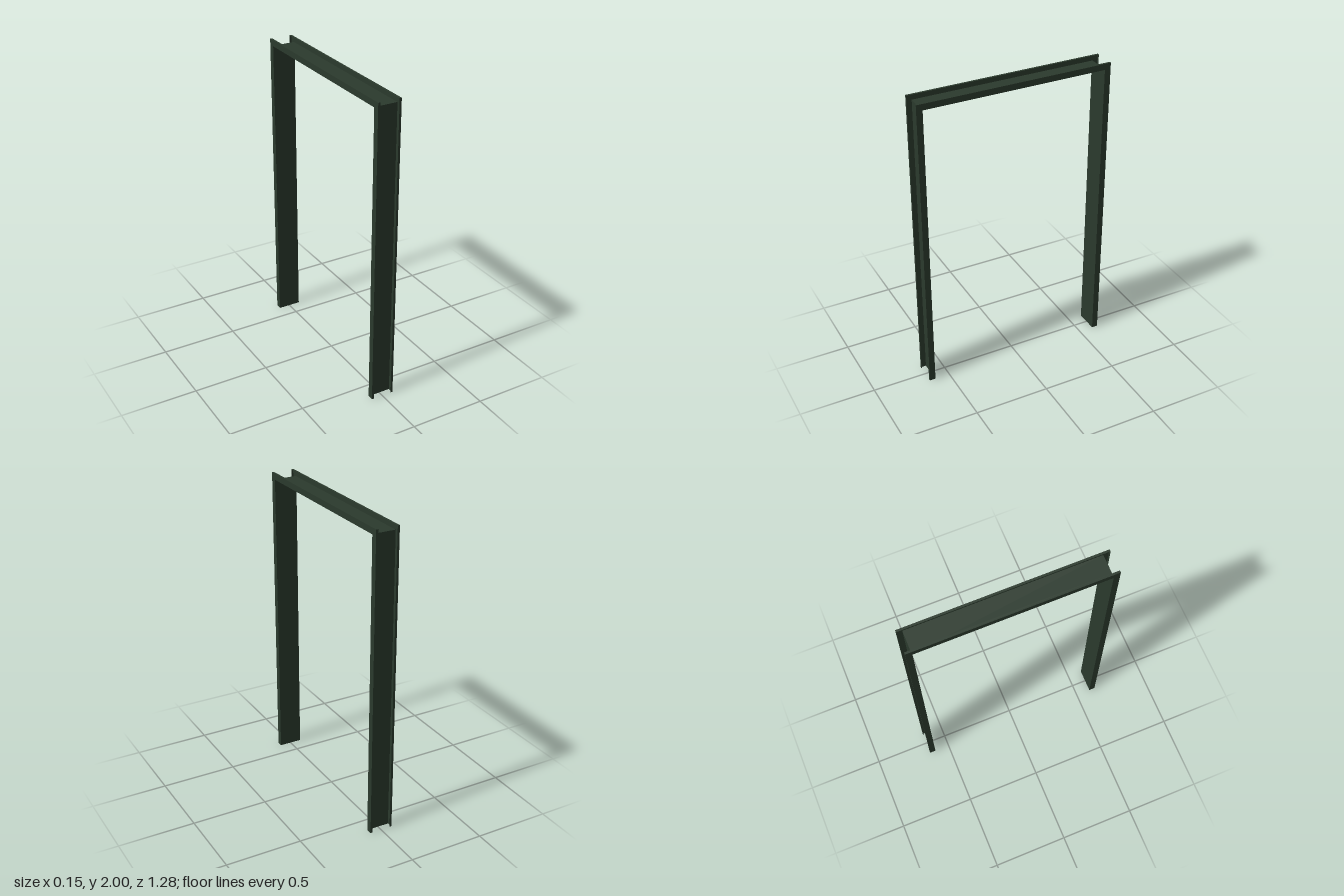
import * as THREE from 'three';

const HALF_W = 0.077;   // half depth of the frame
const LIP = 0.014;      // width of the folded return
const FACE = 0.04;      // width of the face around the opening
const SHEET = 0.003;    // sheet thickness
const OPEN_Z = 0.6;     // half width of the opening
const OPEN_Y = 1.96;    // height of the opening

// Folded sheet section: x across the frame, y outward from the opening
function channelSection() {
  const half = [
    [HALF_W, 0], [HALF_W, FACE], [HALF_W - LIP, FACE],
    [HALF_W - LIP, FACE - SHEET], [HALF_W - SHEET, FACE - SHEET], [HALF_W - SHEET, SHEET],
  ];
  const mirrored = half.map(([x, d]) => [-x, d]).reverse();
  return new THREE.Shape([...half, ...mirrored].map(([x, d]) => new THREE.Vector2(x, d)));
}

// Extrude the section, then place each corner so that the ends are mitred
function member(name, material, place) {
  const geometry = new THREE.ExtrudeGeometry(channelSection(), { depth: 1, bevelEnabled: false });
  const pos = geometry.attributes.position;
  for (let i = 0; i < pos.count; i++) {
    const [y, z] = place(pos.getY(i), pos.getZ(i) > 0.5);
    pos.setXYZ(i, pos.getX(i), y, z);
  }
  geometry.computeVertexNormals();
  const mesh = new THREE.Mesh(geometry, material);
  mesh.name = name;
  return mesh;
}

export function createModel() {
  const group = new THREE.Group();
  group.name = 'doorFrame';
  const material = new THREE.MeshStandardMaterial({ color: 0x2b3a2d });

  // Upright jambs, square at the floor and mitred at the top
  const jamb = (d, atFloor) => [atFloor ? 0 : OPEN_Y + d, OPEN_Z + d];
  const frontJamb = member('frontJamb', material, jamb);
  const backJamb = member('backJamb', material, jamb);
  backJamb.rotation.y = Math.PI;

  // Head across the top, mitred at both ends
  const head = member('head', material, (d, atFront) => [OPEN_Y + d, (atFront ? 1 : -1) * (OPEN_Z + d)]);

  group.add(frontJamb, backJamb, head);
  return group;
}
